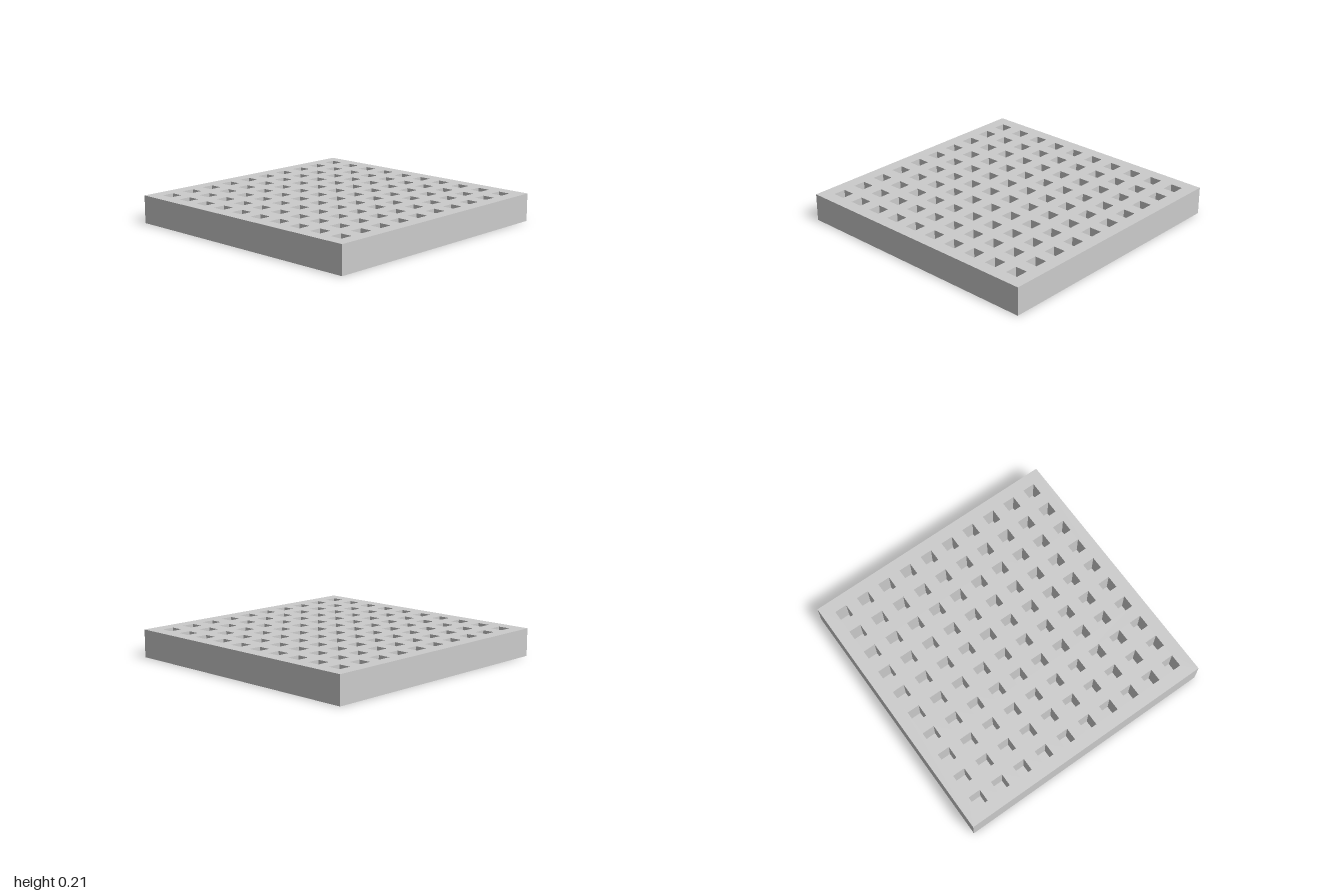
import * as THREE from 'three';
import { mergeGeometries } from 'three/addons/utils/BufferGeometryUtils.js';

const COUNT = 10;                     // pockets per side
const UNIT = 2 / (2 * COUNT + 1);     // pocket width = rib width
const HEIGHT = 2.2 * UNIT;
const DEPTH = 2 * UNIT;               // pocket depth

// Box without its top face; inward = true turns it into a pocket lining
function openBox(w, h, d, inward = false) {
  const g = new THREE.BoxGeometry(w, h, d);
  const index = Array.from(g.index.array).filter((_, i) => i < 12 || i >= 18);
  g.clearGroups();
  if (inward) {
    index.reverse();
    g.attributes.normal.array.forEach((n, i, a) => { a[i] = -n; });
  }
  g.setIndex(index);
  return g;
}

export function createModel() {
  const group = new THREE.Group();
  group.name = 'pocketTray';
  const material = new THREE.MeshStandardMaterial({ color: 0xcccccc });
  const add = (name, geometry) => {
    const mesh = new THREE.Mesh(geometry, material);
    mesh.name = name;
    group.add(mesh);
  };

  // Outer sides and underside
  add('outerShell', openBox(2, HEIGHT, 2).translate(0, HEIGHT / 2, 0));

  // Top face with a square opening over each pocket
  const top = new THREE.Shape([[-1, -1], [1, -1], [1, 1], [-1, 1]].map(p => new THREE.Vector2(...p)));
  const pockets = [];
  const r = UNIT / 2;
  for (let i = 0; i < COUNT; i++) {
    for (let j = 0; j < COUNT; j++) {
      const x = -1 + (2 * i + 1.5) * UNIT;
      const z = -1 + (2 * j + 1.5) * UNIT;
      top.holes.push(new THREE.Path([[-r, -r], [-r, r], [r, r], [r, -r]]
        .map(([a, b]) => new THREE.Vector2(x + a, z + b))));
      pockets.push(openBox(UNIT, DEPTH, UNIT, true).translate(x, HEIGHT - DEPTH / 2, z));
    }
  }
  add('gridTop', new THREE.ShapeGeometry(top).rotateX(-Math.PI / 2).translate(0, HEIGHT, 0));

  // Walls and floors of all pockets
  add('pockets', mergeGeometries(pockets));
  return group;
}
